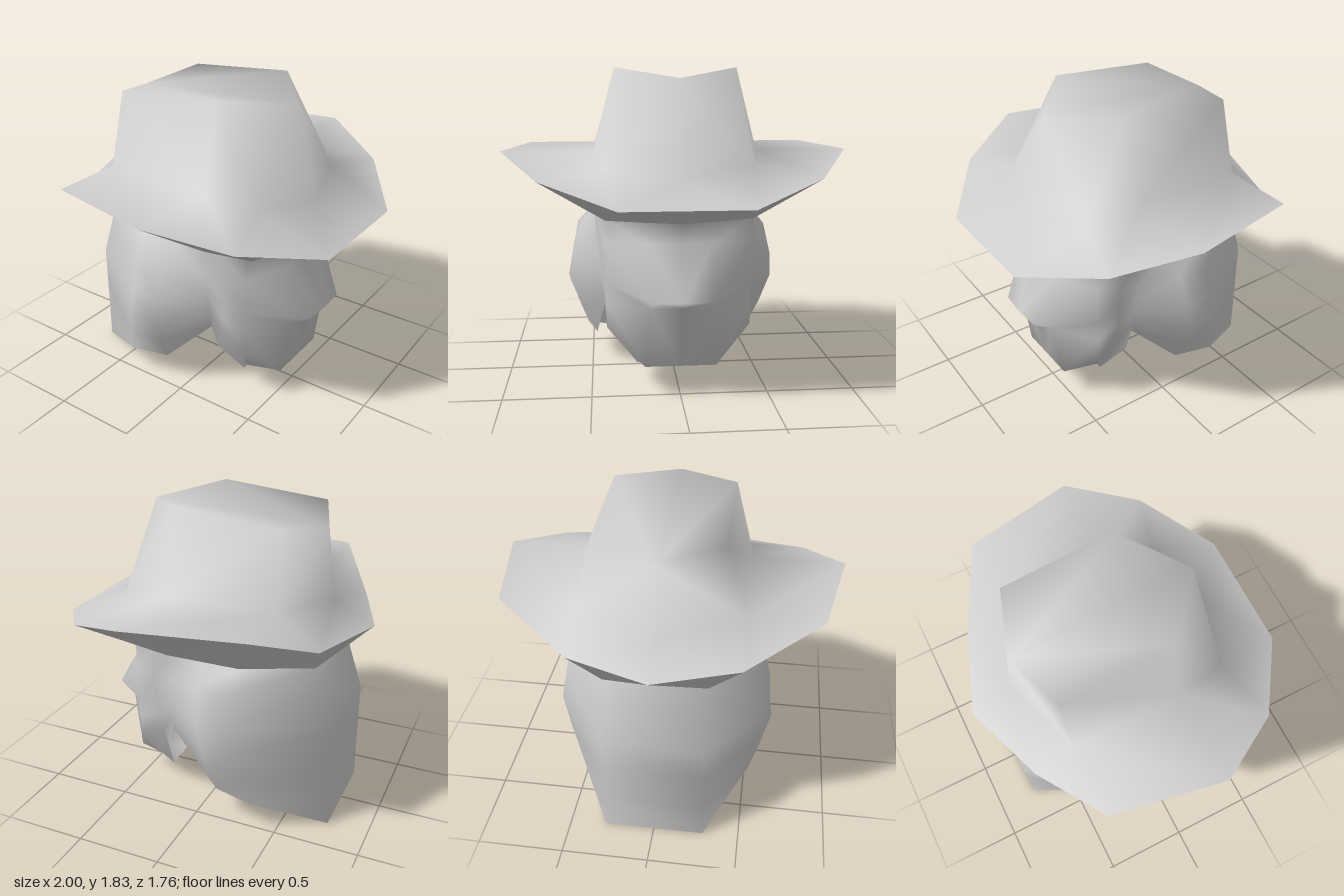
import * as THREE from 'three';
import { mergeVertices } from 'three/addons/utils/BufferGeometryUtils.js';

// Closed skin over vertical columns (bottom to top), given from the front
// centre round the +x side to the back; columns off the centre are mirrored.
function skin(half) {
  const mirrored = half
    .filter(col => col[0][0] !== 0 || col[1][0] !== 0)
    .map(col => col.map(([x, y, z]) => [-x, y, z]))
    .reverse();
  const cols = [...half, ...mirrored];
  const rows = half[0].length;
  const index = [];
  for (let i = 0; i < cols.length; i++) {
    const k = (i + 1) % cols.length;
    for (let j = 0; j < rows - 1; j++) {
      const a = i * rows + j, b = k * rows + j;
      // the diagonals are mirrored too
      if (i < half.length - 1) index.push(a, b, b + 1, a, b + 1, a + 1);
      else index.push(a, b, a + 1, b, b + 1, a + 1);
    }
  }
  const geo = new THREE.BufferGeometry();
  geo.setAttribute('position', new THREE.Float32BufferAttribute(cols.flat(2), 3));
  geo.setIndex(index);
  const welded = mergeVertices(geo, 1e-4);
  welded.computeVertexNormals();
  return welded;
}

export function createModel() {
  const group = new THREE.Group();
  const grey = new THREE.MeshStandardMaterial({ color: 0xcccccc, side: THREE.DoubleSide });
  grey.name = 'light grey';
  const addPart = (name, columns) => {
    const mesh = new THREE.Mesh(skin(columns), grey);
    mesh.name = name;
    group.add(mesh);
  };

  // Hat: band edge, brim edge, crown base, crown rim, centre crease
  const front = [0, 1.77, 0.47], back = [0, 1.71, -0.59];
  const hatColumns = [
    [[0, 1, 0.59], [0, 1.12, 0.88], [0, 1.24, 0.59], front, front],
    [[0.2, 1, 0.53], [0.35, 1.12, 0.88], [0, 1.24, 0.59], front, front],
    [[0.41, 1, 0.45], [0.77, 1.235, 0.58], [0.41, 1.3, 0.47], front, front],
    [[0.47, 1, 0.18], [1, 1.36, 0.18], [0.47, 1.36, 0.18], [0.35, 1.83, 0.18], front],
    [[0.47, 1, -0.26], [0.88, 1.36, -0.47], [0.47, 1.36, -0.47], [0.35, 1.77, -0.47], back],
    [[0.29, 1, -0.64], [0.47, 1.18, -0.71], [0.47, 1.36, -0.47], [0.35, 1.77, -0.47], back],
    [[0, 1, -0.64], [0, 1.18, -0.88], [0, 1.3, -0.64], back, back],
  ];
  addPart('hatTop', hatColumns.map(col => col.slice(1)));
  addPart('brimUnderside', hatColumns.map(col => col.slice(0, 2)));

  // Face with nose and chin at the front, notched at the sides, hair at the back
  const headColumns = [
    // nose and chin centre
    [[0, 1, 0.59], [0, 0.88, 0.53], [0, 0.59, 0.7], [0, 0.53, 0.59], [0, 0.18, 0.53], [0, 0.12, 0.29]],
    // end of the nose ridge
    [[0.2, 1, 0.53], [0.18, 0.88, 0.52], [0.16, 0.59, 0.69], [0.17, 0.53, 0.59], [0.2, 0.18, 0.53], [0.2, 0.12, 0.29]],
    // cheek and jaw
    [[0.41, 1, 0.42], [0.41, 0.86, 0.41], [0.41, 0.64, 0.41], [0.41, 0.52, 0.41], [0.41, 0.38, 0.41], [0.235, 0.12, 0.29]],
    [[0.45, 1, 0.28], [0.445, 0.85, 0.28], [0.43, 0.67, 0.28], [0.42, 0.57, 0.27], [0.41, 0.47, 0.25], [0.41, 0.36, 0.22]],
    // top of the side notch
    [[0.47, 1, 0.18], [0.47, 0.84, 0.18], [0.45, 0.72, 0.18], [0.44, 0.64, 0.18], [0.43, 0.56, 0.18], [0.41, 0.48, 0.18]],
    // hair at the sides
    [[0.47, 1, -0.04], [0.57, 0.88, -0.04], [0.62, 0.68, -0.06], [0.63, 0.53, -0.1], [0.56, 0.35, -0.11], [0.47, 0.18, -0.12]],
    [[0.47, 1, -0.26], [0.58, 0.88, -0.22], [0.62, 0.68, -0.23], [0.645, 0.53, -0.25], [0.59, 0.35, -0.3], [0.53, 0.18, -0.35]],
    // hair at the back corner
    [[0.29, 1, -0.64], [0.29, 0.88, -0.68], [0.29, 0.64, -0.76], [0.29, 0.44, -0.76], [0.29, 0.22, -0.76], [0.29, 0, -0.76]],
  ];
  addPart('faceAndHair', headColumns.map(col => col.reverse()));

  return group;
}
